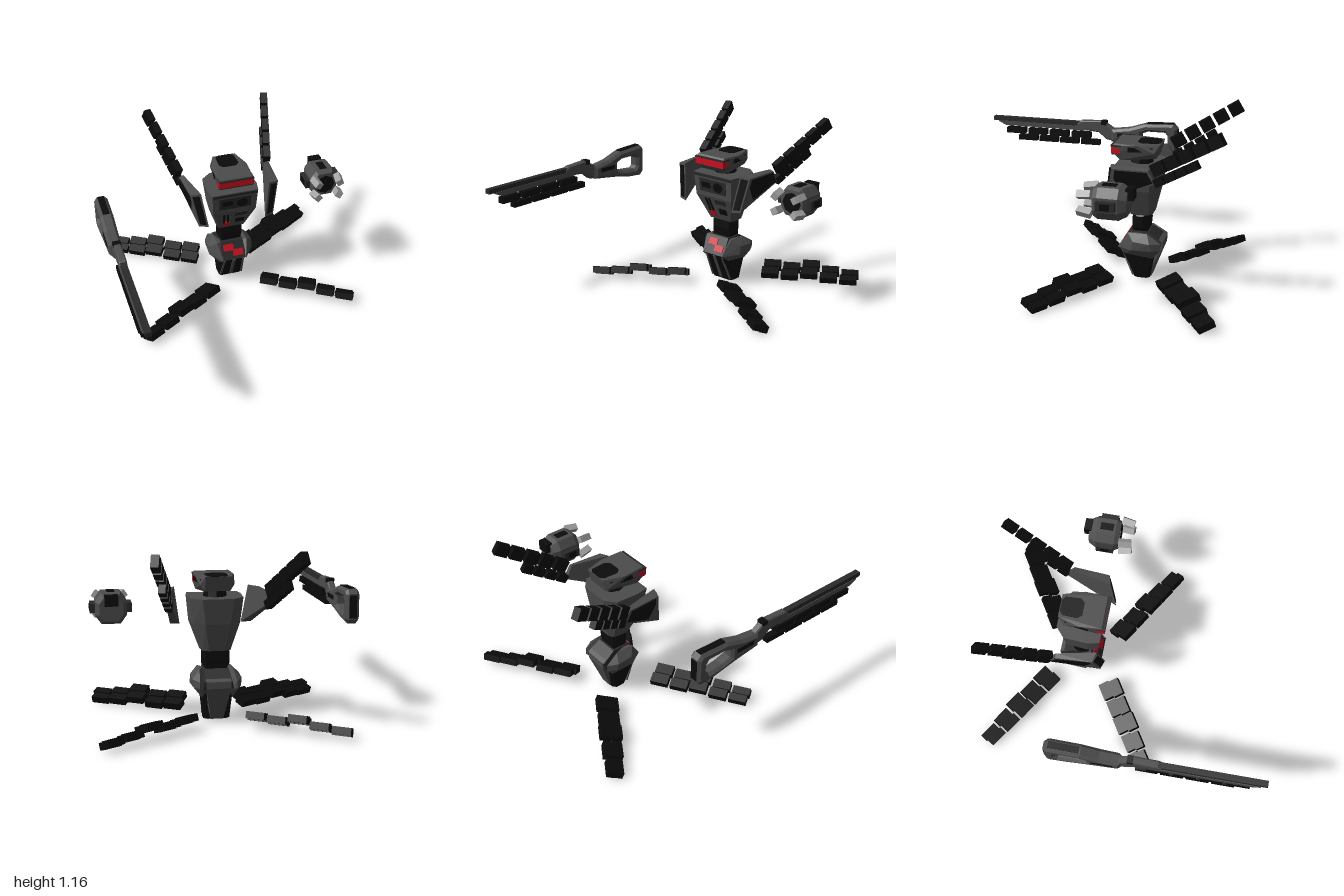
import * as THREE from 'three';
import { ConvexGeometry } from 'three/addons/geometries/ConvexGeometry.js';

const paint = (name, color) => {
  const m = new THREE.MeshStandardMaterial({ color, flatShading: true });
  m.name = name;
  return m;
};

export function createModel() {
  const black = paint('black', 0x0b0b0b);
  const dark = paint('charcoal', 0x2a2a2a);
  const grey = paint('grey', 0x4c4c4c);
  const light = paint('light grey', 0xa0a0a0);
  const red = paint('red', 0xc80f20);
  const V = (p) => new THREE.Vector3(...p);

  const add = (parent, name, geo, mat, pos = [0, 0, 0], rot = [0, 0, 0]) => {
    const m = new THREE.Mesh(geo, mat);
    m.name = name;
    m.position.set(...pos);
    m.rotation.set(...rot);
    parent.add(m);
    return m;
  };
  const group = (parent, name, pos = [0, 0, 0]) => {
    const g = new THREE.Group();
    g.name = name;
    g.position.set(...pos);
    parent.add(g);
    return g;
  };
  const box = (parent, name, mat, size, pos, rot) =>
    add(parent, name, new THREE.BoxGeometry(...size), mat, pos, rot);
  const hull = (parent, name, mat, pts) =>
    add(parent, name, new ConvexGeometry(pts.map(V)), mat);
  // left-right symmetric solid from points given for one half
  const symHull = (parent, name, mat, pts) =>
    hull(parent, name, mat, pts.flatMap(([x, y, z]) => [[x, y, z], [-x, y, z]]));
  // side outline in (z, y), extruded across x
  const slab = (parent, name, mat, outline, width, x, hole, bevel = 0) => {
    const shape = new THREE.Shape(outline.map((p) => new THREE.Vector2(...p)));
    if (hole) shape.holes.push(new THREE.Path(hole.map((p) => new THREE.Vector2(...p))));
    const geo = new THREE.ExtrudeGeometry(shape, {
      depth: width - 2 * bevel, bevelEnabled: bevel > 0, bevelSize: bevel,
      bevelThickness: bevel, bevelOffset: -bevel, bevelSegments: 1,
    });
    geo.translate(0, 0, -(width - 2 * bevel) / 2).rotateY(-Math.PI / 2);
    return add(parent, name, geo, mat, [x, 0, 0]);
  };

  const model = new THREE.Group();
  model.name = 'robot';
  const body = group(model, 'body', [0.065, 0, -0.38]);

  // Head with visor
  const head = group(body, 'head');
  symHull(head, 'helmet', grey, [
    [0.115, 0.965, 0.17], [0.122, 0.945, 0.19], [0.125, 0.96, 0.02], [0.08, 0.965, -0.125],
    [0.11, 0.852, 0.13], [0.12, 0.895, 0.17], [0.08, 0.87, -0.1], [0.11, 0.91, -0.09],
  ]);
  box(head, 'visor', red, [0.244, 0.045, 0.06], [0, 0.921, 0.162]);
  box(head, 'visorBrow', dark, [0.246, 0.01, 0.07], [0, 0.949, 0.16]);
  box(head, 'visorSill', dark, [0.236, 0.01, 0.06], [0, 0.894, 0.157]);
  symHull(head, 'crownPlate', black, [
    [0.045, 0.969, 0.03], [0.07, 0.969, 0], [0.065, 0.969, -0.1], [0.04, 0.969, -0.12],
    [0.045, 0.961, 0.03], [0.07, 0.961, 0], [0.065, 0.961, -0.1], [0.04, 0.961, -0.12],
  ]);
  for (const s of [-1, 1])
    box(head, 'cheekStrip', black, [0.01, 0.03, 0.16], [s * 0.112, 0.93, 0], [0, s * 0.16, 0]);
  add(body, 'neck', new THREE.CylinderGeometry(0.07, 0.08, 0.06, 8), black, [0, 0.84, 0.01]);

  // Tapered torso
  const torso = group(body, 'torso');
  symHull(torso, 'chest', grey, [
    [0.165, 0.825, 0.16], [0.18, 0.825, 0.08], [0.17, 0.825, -0.08], [0.1, 0.825, -0.14],
    [0.155, 0.66, 0.14], [0.165, 0.66, 0.07], [0.15, 0.66, -0.07], [0.08, 0.66, -0.12],
    [0.09, 0.48, 0.06], [0.1, 0.48, 0.03], [0.09, 0.48, -0.06], [0.05, 0.48, -0.08],
  ]);
  const upper = [0.12, 0, 0], lower = [0.418, 0, 0];
  const chestZ = (y) => (y > 0.66 ? 0.14 + (y - 0.66) * 0.121 : 0.06 + (y - 0.48) * 0.444);
  const plate = (name, mat, x, y, w, h) =>
    box(torso, name, mat, [w, h, 0.008], [x, y, chestZ(y) + 0.002], y > 0.66 ? upper : lower);
  plate('chestRim', dark, 0, 0.812, 0.32, 0.02);
  plate('chestPanel', dark, 0, 0.742, 0.23, 0.095);
  plate('leftVent', black, -0.055, 0.745, 0.075, 0.04).position.z += 0.003;
  const eye = add(torso, 'chestLens', new THREE.CylinderGeometry(0.042, 0.042, 0.009, 8), black,
    [0.05, 0.742, chestZ(0.742) + 0.006], [Math.PI / 2 + 0.12, 0, 0]);
  eye.scale.z = 0.85;
  for (const x of [-0.068, -0.04])
    box(torso, 'ribStripe', black, [0.014, 0.13, 0.008], [x, 0.585, chestZ(0.585) + 0.003], [0.418, 0, 0.1]);
  plate('upperPocket', dark, 0.05, 0.63, 0.09, 0.04);
  plate('lowerPocket', black, 0.05, 0.555, 0.065, 0.05);
  plate('chestLight', red, -0.045, 0.525, 0.045, 0.045).position.z += 0.002;

  // Waist
  symHull(body, 'waist', black, [
    [0.09, 0.465, 0.02], [0.09, 0.465, -0.02], [0.07, 0.49, 0.05], [0.07, 0.49, -0.05],
    [0.09, 0.385, 0.02], [0.09, 0.385, -0.02], [0.07, 0.36, 0.05], [0.07, 0.36, -0.05],
    [0.07, 0.42, 0.055], [0.07, 0.42, -0.055],
  ]);

  // Pelvis
  const pelvis = group(body, 'pelvis');
  symHull(pelvis, 'pelvisCore', black, [
    [0.08, 0.24, 0.13], [0.1, 0.24, 0.08], [0.1, 0.24, -0.1], [0.08, 0.3, -0.12],
    [0.07, 0.03, 0.035], [0.085, 0.03, 0.01], [0.085, 0.03, -0.05], [0.06, 0.03, -0.07],
  ]);
  symHull(pelvis, 'pelvisTop', dark, [
    [0.08, 0.36, 0.07], [0.08, 0.355, -0.06], [0.09, 0.24, 0.14], [0.1, 0.24, -0.14], [0.09, 0.295, -0.15],
  ]);
  symHull(pelvis, 'pelvisBack', grey, [
    [0.08, 0.352, -0.05], [0.08, 0.295, -0.155], [0.08, 0.25, -0.155],
    [0.04, 0.03, -0.075], [0.05, 0.03, -0.045], [0.06, 0.2, -0.05],
  ]);
  for (const s of [-1, 1]) {
    hull(pelvis, 'hipPod', grey, [
      [0.085, 0.24, 0.148], [0.11, 0.355, 0.075], [0.11, 0.355, -0.055], [0.12, 0.295, -0.15],
      [0.12, 0.25, -0.15], [0.1, 0.18, -0.09], [0.1, 0.2, 0.09], [0.16, 0.31, 0.03],
      [0.162, 0.25, 0.04], [0.16, 0.3, -0.08], [0.155, 0.25, -0.09], [0.07, 0.35, 0.05], [0.07, 0.22, -0.1],
    ].map(([x, y, z]) => [x * s, y, z]));
    box(pelvis, 'frontEdge', grey, [0.012, 0.2, 0.01], [s * 0.074, 0.135, 0.083], [0.425, 0, s * 0.05]);
  }
  box(pelvis, 'frontRidge', grey, [0.022, 0.2, 0.012], [0, 0.135, 0.084], [0.425, 0, 0]);
  box(pelvis, 'upperBadge', red, [0.075, 0.048, 0.008], [-0.033, 0.32, 0.095], [-0.53, 0, 0]);
  box(pelvis, 'lowerBadge', red, [0.075, 0.048, 0.008], [0.033, 0.283, 0.117], [-0.53, 0, 0]);

  for (const s of [-1, 1]) {
    // Shoulder wedge, tapering back to the wing
    const shoulder = group(body, 'shoulder');
    const side = (pts) => pts.map(([x, y, z]) => [x * s, y, z]);
    hull(shoulder, 'shoulderWedge', grey, side([
      [0.245, 0.865, 0.16], [0.315, 0.855, 0.14], [0.205, 0.61, 0.2], [0.27, 0.615, 0.18],
      [0.3, 0.87, -0.1], [0.33, 0.86, -0.1], [0.3, 0.78, -0.15], [0.33, 0.78, -0.15],
    ]));
    hull(shoulder, 'shoulderPanel', black, side([
      [0.257, 0.848, 0.167], [0.302, 0.842, 0.149], [0.22, 0.63, 0.2], [0.262, 0.632, 0.185],
      [0.257, 0.848, 0.158], [0.302, 0.842, 0.142], [0.22, 0.63, 0.191], [0.262, 0.632, 0.177],
    ]));
    hull(shoulder, 'shoulderSide', black, side([
      [0.316, 0.845, 0.12], [0.277, 0.65, 0.15], [0.334, 0.85, -0.09], [0.334, 0.785, -0.13],
      [0.308, 0.845, 0.12], [0.269, 0.65, 0.15], [0.326, 0.85, -0.09], [0.326, 0.785, -0.13],
    ]));

    // Raised wing: a long upper and a short lower row of blocks
    const wing = group(body, 'wing', [s * 0.335, 0.89, -0.17]);
    wing.rotation.set(0.53, -s * 0.26, 0, 'YXZ');
    for (let i = 0; i < 5; i++)
      box(wing, 'upperFeather', black, [0.05, 0.08, 0.09], [0, 0, -i * 0.11]);
    for (let i = 0; i < 4; i++)
      box(wing, 'lowerFeather', black, [0.045, 0.055, 0.072], [-s * 0.015, -0.08, 0.045 - i * 0.087]);

    // Two splayed ground legs on each side, five paired plates each
    for (const f of [-1, 1]) {
      const leg = group(body, f > 0 ? 'frontLeg' : 'backLeg');
      [[0.08, 0.15], [0.07, 0.14], [0.092, 0.15], [0.062, 0.13], [0.05, 0.11]].forEach(([y, w], i) => {
        const seg = group(leg, 'legSegment',
          [s * (0.235 + i * 0.1175), y, f * (0.24 + i * 0.0738)]);
        seg.rotation.set(-0.33 * s * f, Math.atan2(-f * 0.53, s * 0.85), 0, 'YXZ');
        for (const k of [-1, 1])
          box(seg, 'legPlate', black, [0.122, 0.046, w / 2], [k * s * f * 0.006, k * s * f * 0.004, k * w / 4]);
      });
    }
  }

  // Floating claw hand
  const hand = group(model, 'clawHand', [0.73, 0.765, -0.33]);
  const ring = (z, k) => [[0.06, 0.1], [0.1, 0.045], [0.1, -0.045], [0.06, -0.1]].map(([x, y]) => [x * k, y * k, z]);
  symHull(hand, 'palmShell', grey, [...ring(-0.11, 0.75), ...ring(-0.06, 1), ...ring(0.07, 1), ...ring(0.1, 0.85)]);
  add(hand, 'palmSocket', new THREE.CylinderGeometry(0.07, 0.07, 0.01, 8), black, [0, 0, 0.1], [Math.PI / 2, 0, 0]);
  box(hand, 'wristBlock', black, [0.085, 0.07, 0.05], [0, 0.06, -0.12]);
  box(hand, 'topPatch', black, [0.05, 0.009, 0.09], [0, 0.1, 0.01]);
  for (const s of [-1, 1]) {
    box(hand, 'knuckle', dark, [0.04, 0.06, 0.12], [s * 0.112, 0, 0.01]);
    box(hand, 'sidePatch', black, [0.006, 0.04, 0.06], [s * 0.132, 0, 0.01]);
    for (const t of [-1, 1])
      box(hand, 'claw', light, [0.045, 0.045, 0.09], [s * 0.082, t * 0.055, 0.145], [t * 0.12, -s * 0.15, s * t * 0.6]);
  }

  // Floating rifle
  const rifle = group(model, 'rifle');
  const X = -0.835;
  slab(rifle, 'stock', grey,
    [[0.06, 0.69], [0.06, 0.78], [-0.08, 0.8], [-0.2, 0.84], [-0.41, 0.85], [-0.44, 0.82],
      [-0.44, 0.65], [-0.41, 0.62], [-0.3, 0.63], [-0.15, 0.66]], 0.09, X,
    [[-0.17, 0.71], [-0.17, 0.765], [-0.22, 0.785], [-0.35, 0.785], [-0.37, 0.76], [-0.37, 0.7], [-0.35, 0.68], [-0.24, 0.69]], 0.018);
  box(rifle, 'stockTop', black, [0.045, 0.008, 0.2], [X, 0.847, -0.31], [0.04, 0, 0]);
  box(rifle, 'buttPad', black, [0.05, 0.15, 0.008], [X, 0.735, -0.44]);
  for (const s of [-1, 1])
    box(rifle, 'stockInlay', black, [0.006, 0.03, 0.14], [X + s * 0.044, 0.745, -0.06]);
  slab(rifle, 'receiver', grey,
    [[0.33, 0.81], [0.3, 0.83], [0.13, 0.84], [0.1, 0.82], [0.04, 0.78], [0.04, 0.69], [0.1, 0.7], [0.16, 0.75], [0.33, 0.765]],
    0.05, X, null, 0.008);
  box(rifle, 'hammer', black, [0.052, 0.03, 0.04], [X, 0.825, 0.12]);
  box(rifle, 'barrel', dark, [0.04, 0.032, 0.74], [X, 0.805, 0.63]);
  slab(rifle, 'barrelShroud', grey, [[0.96, 0.785], [0.9, 0.757], [0.25, 0.757], [0.25, 0.79], [0.96, 0.79]], 0.05, X);
  for (let i = 0; i < 4; i++) {
    box(rifle, 'upperRailBlock', black, [0.05, 0.042, 0.148], [X, 0.72, 0.82 - i * 0.173]);
    box(rifle, 'lowerRailBlock', black, [0.045, 0.038, 0.148], [X, 0.668, 0.725 - i * 0.166]);
  }
  return model;
}
